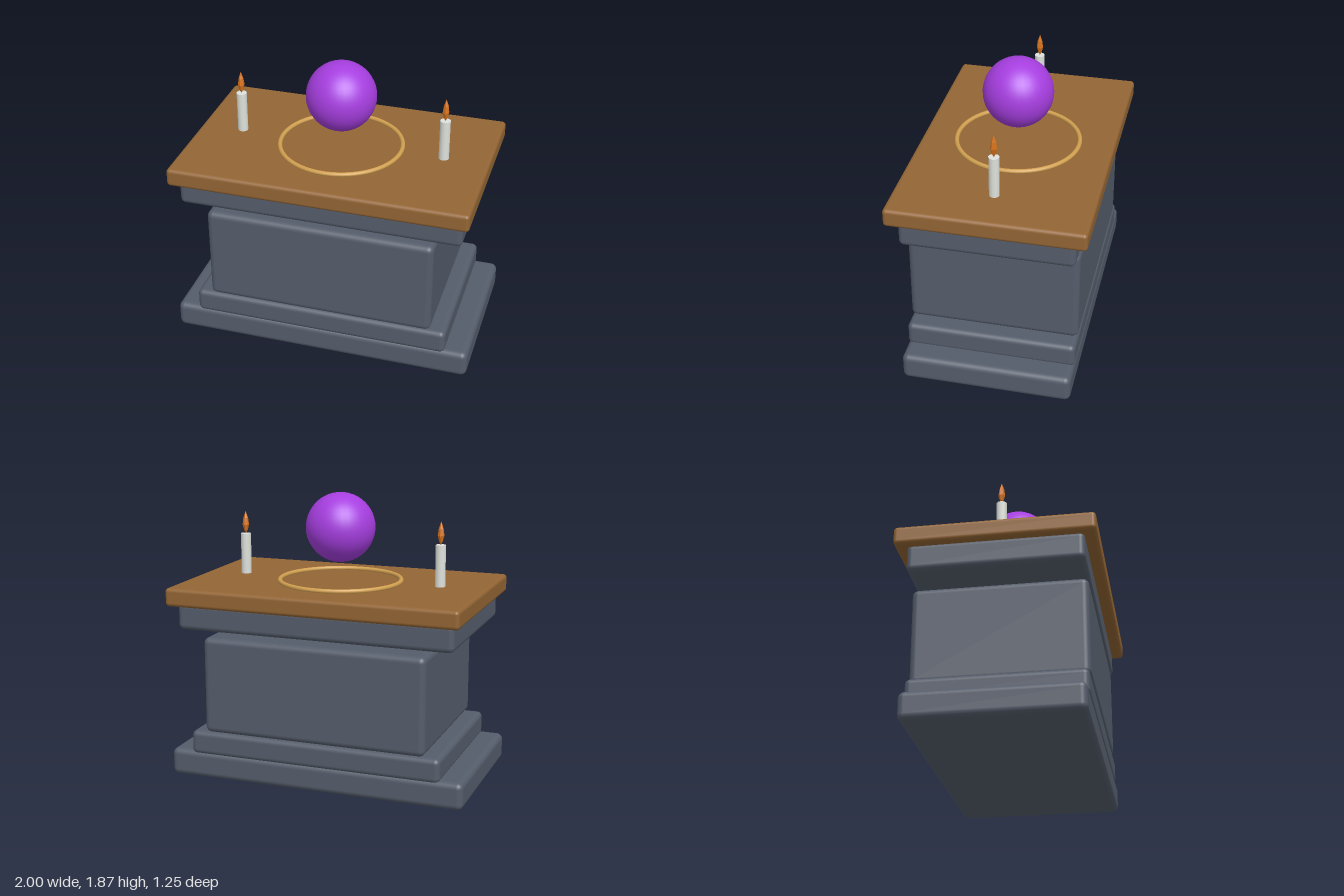
import * as THREE from 'three';
import { RoundedBoxGeometry } from 'three/addons/geometries/RoundedBoxGeometry.js';

const mat = (name, color) => {
  const m = new THREE.MeshStandardMaterial({ color });
  m.name = name;
  return m;
};

export function createModel() {
  const stone = mat('slate stone', 0x555d6b);
  const wood = mat('brown wood', 0x936534);
  const gold = mat('gold', 0xd2a050);
  const purple = mat('purple', 0xa63ee0);
  const wax = mat('pale wax', 0xdfe2dc);
  const fire = mat('orange flame', 0xd9741c);

  const group = new THREE.Group();
  group.name = 'altar';

  const add = (name, geometry, material, x, y, z = 0) => {
    const mesh = new THREE.Mesh(geometry, material);
    mesh.name = name;
    mesh.position.set(x, y, z);
    group.add(mesh);
    return mesh;
  };

  // Stacked rounded slabs: name, width, depth, bottom, top, edge radius, material
  const slabs = [
    ['base', 2.0, 1.1, 0, 0.18, 0.04, stone],
    ['step', 1.7, 1.1, 0.16, 0.32, 0.035, stone],
    ['body', 1.5, 1.1, 0.32, 0.96, 0.04, stone],
    ['cornice', 1.85, 1.1, 1.0, 1.18, 0.035, stone],
    ['tabletop', 1.95, 1.25, 1.165, 1.285, 0.025, wood],
  ];
  for (const [name, w, d, y0, y1, r, m] of slabs) {
    add(name, new RoundedBoxGeometry(w, y1 - y0, d, 4, r), m, 0, (y0 + y1) / 2);
  }

  // Inlaid ring and the orb floating above it
  add('ring', new THREE.TorusGeometry(0.4, 0.015, 10, 64), gold, 0, 1.295).rotation.x = Math.PI / 2;
  add('orb', new THREE.SphereGeometry(0.228, 32, 24), purple, 0, 1.643);

  // Candle and faceted flame on each side
  const candle = new THREE.CylinderGeometry(0.034, 0.034, 0.27, 12);
  const flame = new THREE.LatheGeometry(
    [[0, 0], [0.012, 0.022], [0.022, 0.06], [0.016, 0.105], [0, 0.152]].map(p => new THREE.Vector2(...p)), 6
  ).toNonIndexed();
  flame.computeVertexNormals();
  for (const side of [1, -1]) {
    const label = side > 0 ? 'left' : 'right';
    add(label + 'Candle', candle, wax, side * 0.68, 1.43);
    add(label + 'Flame', flame, fire, side * 0.68, 1.564);
  }
  return group;
}
